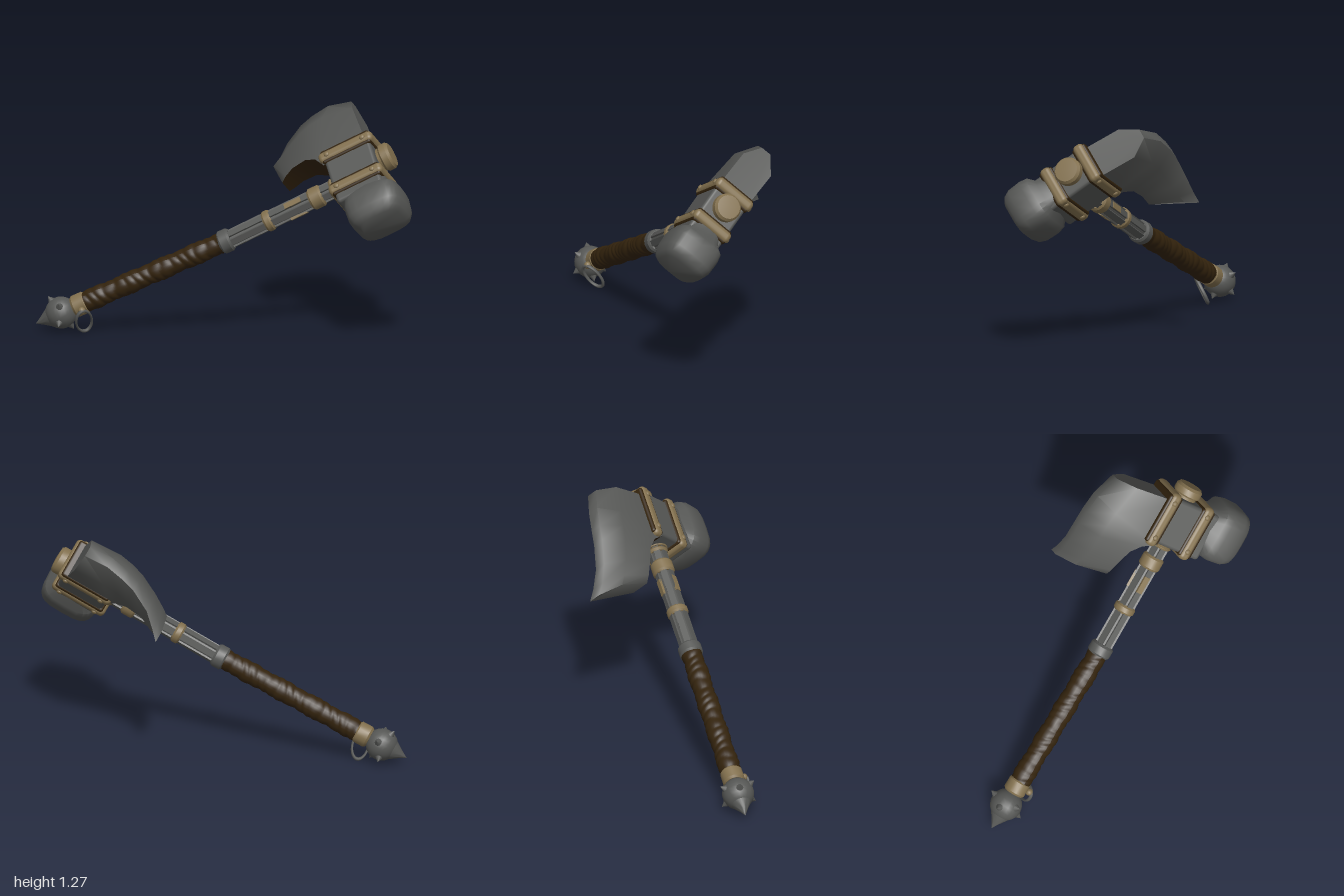
import * as THREE from 'three';
import { toCreasedNormals } from 'three/addons/utils/BufferGeometryUtils.js';
import { RoundedBoxGeometry } from 'three/addons/geometries/RoundedBoxGeometry.js';

const steel = new THREE.MeshStandardMaterial({ color: 0x565755 });
steel.name = 'steel';
const brass = new THREE.MeshStandardMaterial({ color: 0x82704e });
brass.name = 'brass';
const leather = new THREE.MeshStandardMaterial({ color: 0x33230d });
leather.name = 'leather';

// Skin closed rings (counter-clockwise seen from +y), cap both ends;
// triangles of side `accent` get the second material
function loft(rings, crease, accent = -1) {
  const n = rings[0].length, pos = rings.flat(2), plain = [], special = [];
  for (let i = 0; i < rings.length - 1; i++) {
    for (let j = 0; j < n; j++) {
      const a = i * n + j, b = i * n + (j + 1) % n;
      (j === accent ? special : plain).push(a, b, b + n, a, b + n, a + n);
    }
  }
  const top = (rings.length - 1) * n;
  for (let j = 1; j < n - 1; j++) {
    plain.push(0, j + 1, j, top, top + j, top + j + 1);
  }
  const g = new THREE.BufferGeometry();
  g.setAttribute('position', new THREE.Float32BufferAttribute(pos, 3));
  g.setIndex([...plain, ...special]);
  g.addGroup(0, plain.length, 0);
  if (special.length) g.addGroup(plain.length, special.length, 1);
  return toCreasedNormals(g, crease);
}

export function createModel() {
  const model = new THREE.Group();
  model.name = 'warHammerAxe';

  // Weapon frame: y runs along the handle, -x to the blade, z out of the blade's flat
  const axis = new THREE.Vector3(1.78, 1.02, -0.8).normalize();
  const side = new THREE.Vector3(0.574, -0.603, 0.553);
  side.addScaledVector(axis, -side.dot(axis)).normalize();
  const flat = new THREE.Vector3().crossVectors(side, axis);
  const weapon = new THREE.Group();
  weapon.name = 'weapon';
  weapon.quaternion.setFromRotationMatrix(new THREE.Matrix4().makeBasis(side, axis, flat));
  weapon.position.set(-1, 0.04, 0.5);
  model.add(weapon);

  // The grip leans slightly, the shaft above it is set off toward the hammer
  const section = (name, x, y, z) => {
    const group = new THREE.Group();
    group.name = name;
    group.position.set(x, y, z);
    weapon.add(group);
    return group;
  };
  const lower = section('gripSection', -0.006, 0, 0.002);
  lower.rotation.set(-0.014, 0, -0.039);
  const upper = section('shaftSection', 0.042, 0, -0.014);
  const head = section('head', 0, 0, 0);

  const add = (parent, name, geometry, material, x = 0, y = 0, z = 0) => {
    const mesh = new THREE.Mesh(geometry, material);
    mesh.name = name;
    mesh.position.set(x, y, z);
    parent.add(mesh);
    return mesh;
  };
  const lathe = (parent, name, points, material, sides = 20) => {
    const g = new THREE.LatheGeometry(points.map(p => new THREE.Vector2(...p)), sides);
    return add(parent, name, toCreasedNormals(g, 0.6), material);
  };
  const collar = (parent, name, y0, y1, r, material) => lathe(parent, name, [
    [0, y0], [r - 0.01, y0], [r, y0 + 0.012], [r, y1 - 0.012], [r - 0.01, y1], [0, y1],
  ], material);

  // Spiked pommel
  add(lower, 'pommelBall', new THREE.SphereGeometry(0.089, 20, 14), steel, 0, 0.155);
  lathe(lower, 'pommelPoint',
    [[0, 0], [0.024, 0.04], [0.05, 0.078], [0.058, 0.092], [0, 0.11]], steel);
  for (let i = 0; i < 6; i++) {
    const a = i * Math.PI / 3 + 0.3;
    const dir = new THREE.Vector3(Math.cos(a), i % 2 ? 0.25 : -0.25, Math.sin(a)).normalize();
    const spike = add(lower, 'pommelSpike', new THREE.ConeGeometry(0.024, 0.036, 10), steel);
    spike.position.set(0, 0.155, 0).addScaledVector(dir, 0.098);
    spike.quaternion.setFromUnitVectors(new THREE.Vector3(0, 1, 0), dir);
  }
  collar(lower, 'pommelCollar', 0.23, 0.315, 0.062, brass);

  // Oval hanging ring, placed in the model's upright frame
  const ring = add(model, 'hangingRing', new THREE.TorusGeometry(0.078, 0.01, 8, 28), steel,
    -0.738, 0.078, 0.43);
  const ringLong = new THREE.Vector3(0.1, 0.81, 0.58).normalize();
  const ringWide = new THREE.Vector3(0.6, 0.46, -0.64);
  ringWide.addScaledVector(ringLong, -ringWide.dot(ringLong)).normalize();
  const ringFace = new THREE.Vector3().crossVectors(ringWide, ringLong);
  ring.quaternion.setFromRotationMatrix(
    new THREE.Matrix4().makeBasis(ringWide, ringLong, ringFace));
  ring.scale.x = 0.6;
  add(model, 'ringLug', new THREE.SphereGeometry(0.021, 12, 8), brass, -0.735, 0.143, 0.46);

  // Grip wound with slanted, slightly uneven leather strips
  const grip = new THREE.CylinderGeometry(1, 1, 0.86, 24, 110, true);
  const p = grip.attributes.position;
  for (let i = 0; i < p.count; i++) {
    const x = p.getX(i), y = p.getY(i), z = p.getZ(i), a = Math.atan2(z, x);
    const turn = y * 18 + a / (2 * Math.PI) + 0.25 * Math.sin(a * 2 + y * 23);
    const r = 0.055 + 0.005 * Math.abs(Math.sin(turn * Math.PI)) + 0.003 * Math.sin(y * 31);
    p.setXYZ(i, x * r, y, z * r);
  }
  grip.computeVertexNormals();
  add(lower, 'leatherGrip', grip, leather, 0, 0.73);
  collar(lower, 'gripCollar', 1.13, 1.2, 0.066, steel);

  // Shaft with raised slats and collars
  add(upper, 'shaftCore', new THREE.CylinderGeometry(0.045, 0.045, 0.75, 12), steel, 0, 1.52);
  for (let i = 0; i < 6; i++) {
    const a = i * Math.PI / 3;
    const place = (name, len, y, r, mat) => {
      const m = add(upper, name, new THREE.BoxGeometry(0.034, len, 0.014), mat,
        Math.sin(a) * r, y, Math.cos(a) * r);
      m.rotation.y = a;
    };
    place('shaftSlat', 0.68, 1.52, 0.044, steel);
    if (i % 2 === 0) place('shaftPlate', 0.1, 1.6, 0.048, brass);
  }
  collar(upper, 'lowerRing', 1.405, 1.455, 0.06, brass);
  collar(upper, 'upperRing', 1.69, 1.77, 0.062, brass);
  collar(upper, 'neckRing', 1.825, 1.85, 0.062, brass);
  collar(upper, 'neckRing', 1.855, 1.875, 0.07, brass);

  // Head block, with straps over leather padding and rivets
  add(head, 'headBlock', new RoundedBoxGeometry(0.36, 0.28, 0.215, 2, 0.02), steel, 0.045, 2.0);
  for (const x of [-0.093, 0.132]) {
    add(head, 'strapPadding', new RoundedBoxGeometry(0.085, 0.3, 0.232, 2, 0.015), leather, x, 2.0);
    add(head, 'strap', new RoundedBoxGeometry(0.064, 0.33, 0.25, 3, 0.025), brass, x, 2.0);
    for (const y of [1.89, 2.11]) {
      for (const z of [-0.125, 0.125]) {
        const rivet = add(head, 'rivet', new THREE.SphereGeometry(0.016, 10, 6), brass, x, y, z);
        rivet.scale.z = 0.6;
      }
    }
  }
  const cap = lathe(head, 'topCap', [
    [0, 2.13], [0.062, 2.13], [0.066, 2.155], [0.078, 2.165], [0.078, 2.2], [0.066, 2.215],
    [0, 2.22],
  ], brass, 24);
  cap.position.x = 0.012;

  // Hammer: soft square sections growing and shrinking along its length
  const hammerRings = [[0.15, 0.62], [0.205, 0.72], [0.24, 0.95], [0.285, 1], [0.36, 0.98],
    [0.4, 0.88], [0.422, 0.7]].map(([y, k]) => Array.from({ length: 24 }, (_, i) => {
    const a = i * Math.PI / 12, c = Math.cos(a), s = Math.sin(a);
    const soft = v => Math.sign(v) * Math.abs(v) ** 0.56;
    return [soft(c) * 0.168 * k, y, -soft(s) * 0.152 * k];
  }));
  const hammer = loft(hammerRings, 0.7);
  hammer.rotateZ(-Math.PI / 2);
  add(head, 'hammerHead', hammer, steel, 0, 2.045);

  // Bearded blade, curling sideways toward its lower tip:
  // [inner and edge height; inner, bevel and edge reach; sideways shift at each;
  //  half thickness at the inner rim, at the bevel and at the blunt edge]
  const bladeRings = [
    [1.565, 1.512, 0.16, 0.33, 0.4, -0.075, -0.15, -0.235, 0.05, 0.068, 0.034],
    [1.6, 1.56, 0.165, 0.33, 0.41, -0.06, -0.125, -0.185, 0.065, 0.075, 0.034],
    [1.66, 1.64, 0.17, 0.335, 0.435, -0.035, -0.085, -0.12, 0.075, 0.08, 0.03],
    [1.75, 1.76, 0.16, 0.355, 0.465, -0.015, -0.045, -0.065, 0.085, 0.09, 0.03],
    [1.81, 1.84, 0.12, 0.365, 0.475, -0.005, -0.03, -0.045, 0.095, 0.095, 0.03],
    [1.85, 1.95, 0.05, 0.365, 0.475, 0, -0.02, -0.025, 0.1, 0.1, 0.03],
    [2.12, 2.085, 0.05, 0.33, 0.43, 0, -0.02, -0.02, 0.1, 0.1, 0.03],
  ].map(([yi, ye, s0, sb, s1, w0, wb, we, h0, hb, he]) => {
    const yb = (yi + 2 * ye) / 3;
    return [
      [-s1, ye, we - he], [-s1, ye, we + he], [-sb, yb, wb + hb],
      [-s0, yi, w0 + h0], [-s0, yi, w0 - h0], [-sb, yb, wb - hb],
    ];
  });
  add(head, 'axeBlade', loft(bladeRings, 1.0, 3), [steel, leather]);

  return model;
}
